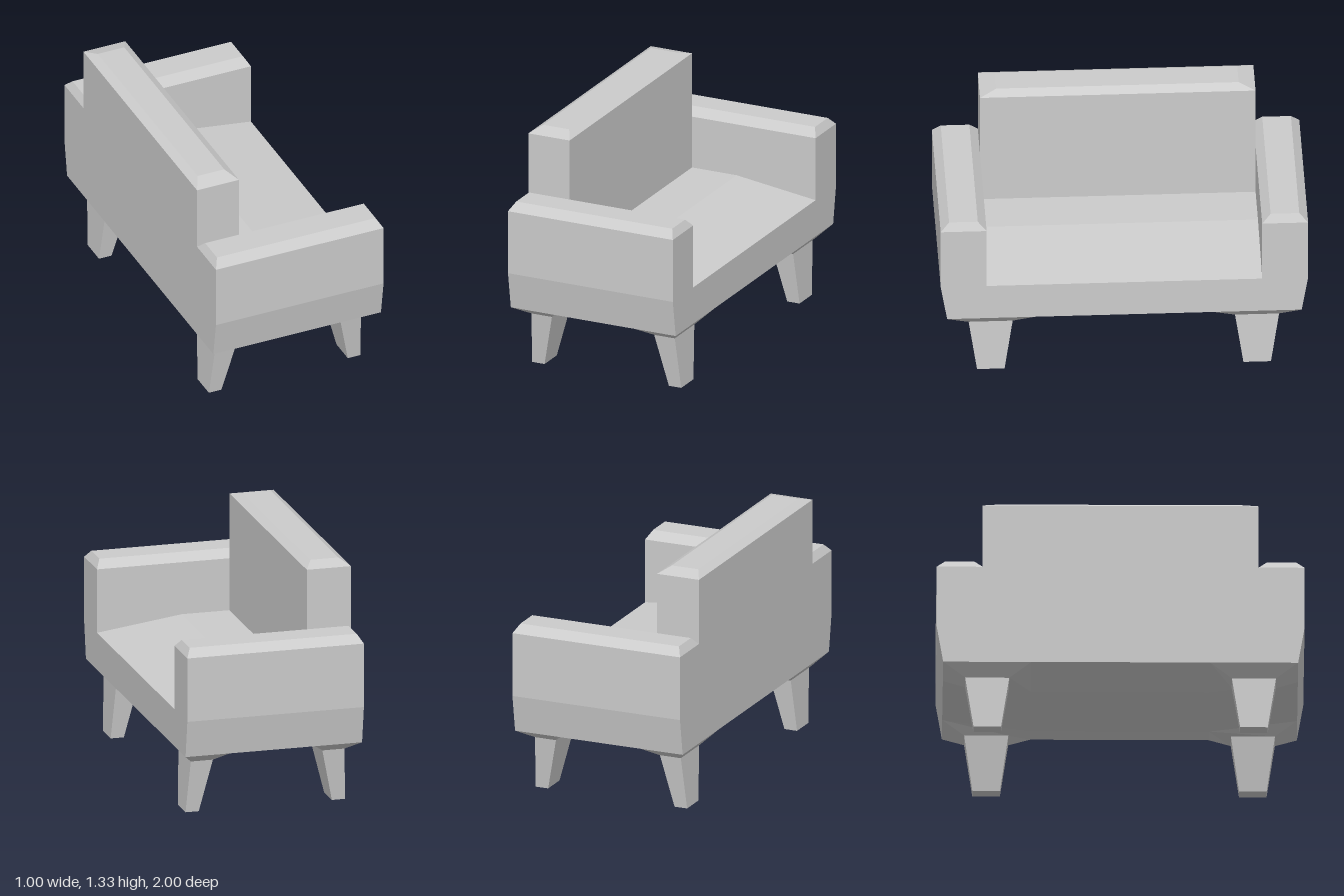
import * as THREE from 'three';

const material = new THREE.MeshStandardMaterial({ color: 0xcccccc, flatShading: true });

// Mesh from convex polygons, each a counter-clockwise list of [x, y, z]
function polyMesh(name, polys) {
  const pos = [];
  for (const p of polys) {
    for (let i = 1; i < p.length - 1; i++) pos.push(...p[0], ...p[i], ...p[i + 1]);
  }
  const geo = new THREE.BufferGeometry();
  geo.setAttribute('position', new THREE.Float32BufferAttribute(pos, 3));
  geo.computeVertexNormals();
  const mesh = new THREE.Mesh(geo, material);
  mesh.name = name;
  return mesh;
}

// Mirror polygons by signs, keeping them facing outwards
function mirror(polys, sx, sz) {
  return polys.map((p) => {
    const q = p.map(([x, y, z]) => [x * sx, y, z * sz]);
    return sx * sz < 0 ? q.reverse() : q;
  });
}

// Loft through rectangles [y, x0, x1, z0, z1] from bottom to top
function loft(rects, capBottom, capTop) {
  const rings = rects.map(([y, x0, x1, z0, z1]) => [[x0, y, z0], [x1, y, z0], [x1, y, z1], [x0, y, z1]]);
  const polys = [];
  for (let r = 0; r < rings.length - 1; r++) {
    for (let i = 0; i < 4; i++) {
      const j = (i + 1) % 4;
      polys.push([rings[r][i], rings[r + 1][i], rings[r + 1][j], rings[r][j]]);
    }
  }
  if (capBottom) polys.push(rings[0]);
  if (capTop) polys.push([...rings[rings.length - 1]].reverse());
  return polys;
}

export function createModel() {
  const group = new THREE.Group();
  group.name = 'sofa';

  // Base with sides that taper inwards at the bottom
  group.add(polyMesh('base', loft([[0.365, -0.5, 0.5, -0.965, 0.965], [0.575, -0.5, 0.5, -1, 1]])));

  // Seat: level at the back, sloping down to the front edge
  const seatLine = [[0.5, 0.575], [0.02, 0.64], [-0.25, 0.64]];
  const seat = [];
  for (let i = 0; i < 2; i++) {
    const [xa, ya] = seatLine[i], [xb, yb] = seatLine[i + 1];
    seat.push([[xa, ya, 0.75], [xa, ya, -0.75], [xb, yb, -0.75], [xb, yb, 0.75]]);
  }
  group.add(polyMesh('seat', seat));

  // Backrest with bevelled top
  group.add(polyMesh('backrest', loft([
    [0.575, -0.5, -0.25, -0.75, 0.75],
    [1.303, -0.5, -0.25, -0.75, 0.75],
    [1.33, -0.455, -0.297, -0.66, 0.66],
  ], false, true)));

  // Underside: shallow bulge with a raised collar around each leg top
  const hi = 0.365, lo = 0.3;
  const O = [0.5, hi, 0.965], A = [0.5, hi, 0.485], B = [0.25, hi, 0.965], I = [0.25, lo, 0.485];
  const L00 = [0.31, lo, 0.605], L10 = [0.435, lo, 0.605], L11 = [0.435, lo, 0.845], L01 = [0.31, lo, 0.845];
  const corner = [[A, O, L11, L10], [O, B, L01, L11], [I, L00, L01, B], [I, A, L10, L00]];
  const flip = ([x, y, z], sx, sz) => [x * sx, y, z * sz];
  const sideX = [[flip(A, 1, -1), A, I, flip(I, 1, -1)]];
  const sideZ = [[B, flip(B, -1, 1), flip(I, -1, 1), I]];
  const under = [
    [flip(I, -1, -1), flip(I, 1, -1), I, flip(I, -1, 1)],
    ...sideX, ...mirror(sideX, -1, 1), ...sideZ, ...mirror(sideZ, 1, -1),
  ];

  // Tapered legs at the four corners
  const leg = loft([[0, 0.377, 0.452, 0.65, 0.8], [lo, 0.31, 0.435, 0.605, 0.845]], true, false);
  for (const sx of [1, -1]) {
    for (const sz of [1, -1]) {
      under.push(...mirror(corner, sx, sz));
      group.add(polyMesh((sx > 0 ? 'front' : 'back') + 'Leg', mirror(leg, sx, sz)));
    }
  }
  group.add(polyMesh('underside', under));

  // Armrests with bevelled tops
  const arm = loft([
    [0.575, -0.5, 0.5, 0.75, 1],
    [0.935, -0.5, 0.5, 0.75, 1],
    [0.98, -0.473, 0.473, 0.797, 0.953],
  ], false, true);
  for (const sz of [1, -1]) group.add(polyMesh('armrest', mirror(arm, 1, sz)));

  return group;
}
